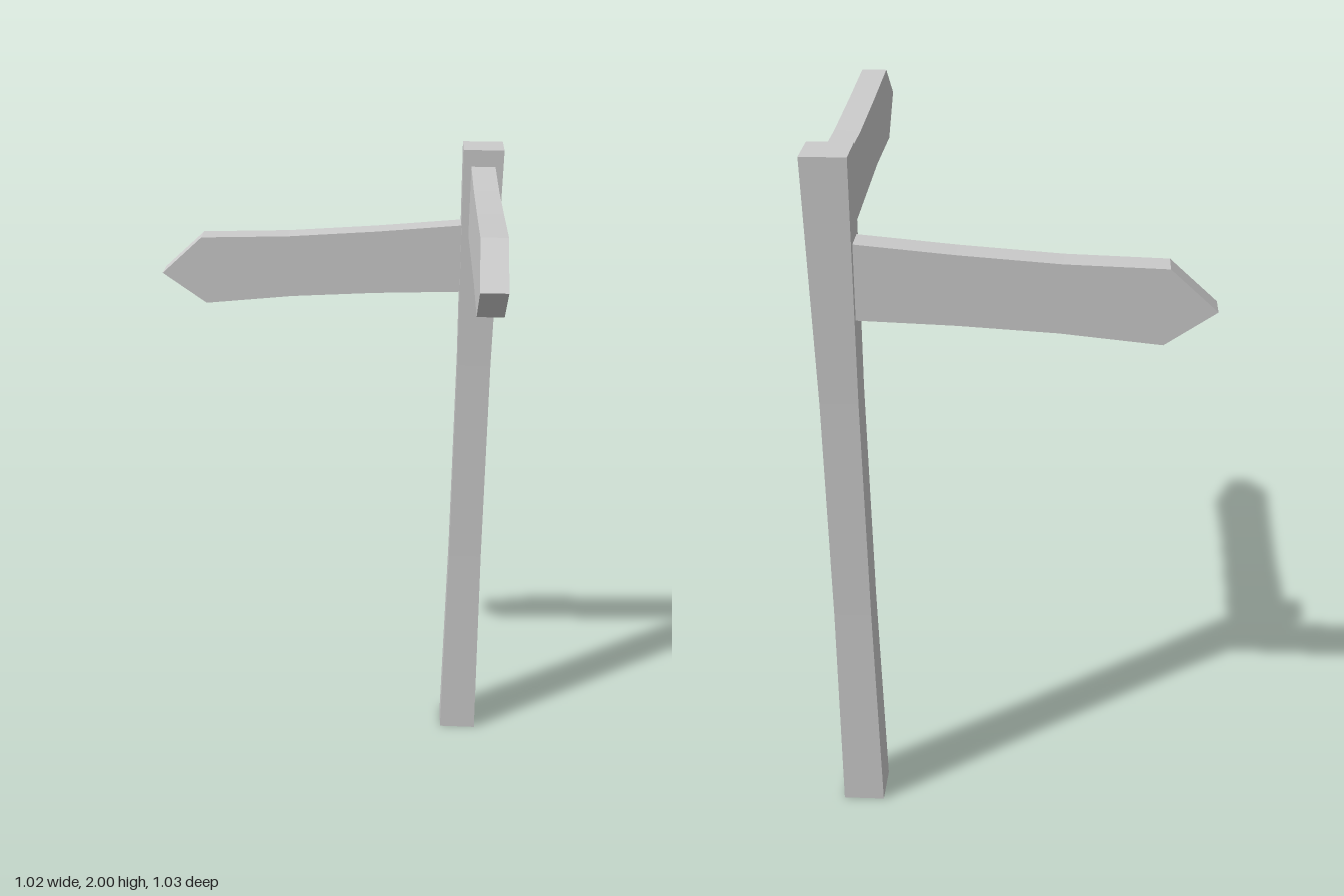
import * as THREE from 'three';

const material = new THREE.MeshStandardMaterial({ color: 0xcccccc, flatShading: true });
const POST_X = 0.45, POST_Z = -0.457, THICKNESS = 0.07;

// Square post, slightly waisted between its two ends
function makePost() {
  const geometry = new THREE.BoxGeometry(1, 2, 1, 1, 3, 1);
  const halfWidths = [0.059, 0.052, 0.051, 0.059];
  const p = geometry.attributes.position;
  for (let i = 0; i < p.count; i++) {
    const width = 2 * halfWidths[Math.round((p.getY(i) + 1) * 1.5)];
    p.setX(i, p.getX(i) * width);
    p.setZ(i, p.getZ(i) * width);
  }
  const post = new THREE.Mesh(geometry, material);
  post.name = 'post';
  post.position.set(POST_X, 1, POST_Z);
  return post;
}

// Pointed board: outline is [distance from post axis, height]
function makeSign(name, outline) {
  const shape = new THREE.Shape(outline.map(([d, y]) => new THREE.Vector2(d, y)));
  const geometry = new THREE.ExtrudeGeometry(shape, { depth: THICKNESS, bevelEnabled: false });
  geometry.translate(0, 0, -THICKNESS / 2);
  const sign = new THREE.Mesh(geometry, material);
  sign.name = name;
  sign.position.set(POST_X, 0, POST_Z);
  return sign;
}

export function createModel() {
  const group = new THREE.Group();
  group.name = 'signpost';
  group.add(makePost());

  // Lower board, drooping toward -x
  const lower = makeSign('lowerSign', [
    [0.045, 1.565], [0.31, 1.556], [0.565, 1.541], [0.83, 1.514],
    [0.963, 1.607], [0.84, 1.72], [0.575, 1.728], [0.31, 1.747], [0.045, 1.771],
  ]);
  lower.rotation.y = Math.PI;

  // Upper board, pointing toward +z
  const upper = makeSign('upperSign', [
    [0.045, 1.745], [0.32, 1.756], [0.587, 1.766], [0.847, 1.758],
    [0.972, 1.86], [0.847, 1.962], [0.587, 1.952], [0.32, 1.945], [0.045, 1.952],
  ]);
  upper.rotation.y = -Math.PI / 2;

  group.add(lower, upper);
  return group;
}
